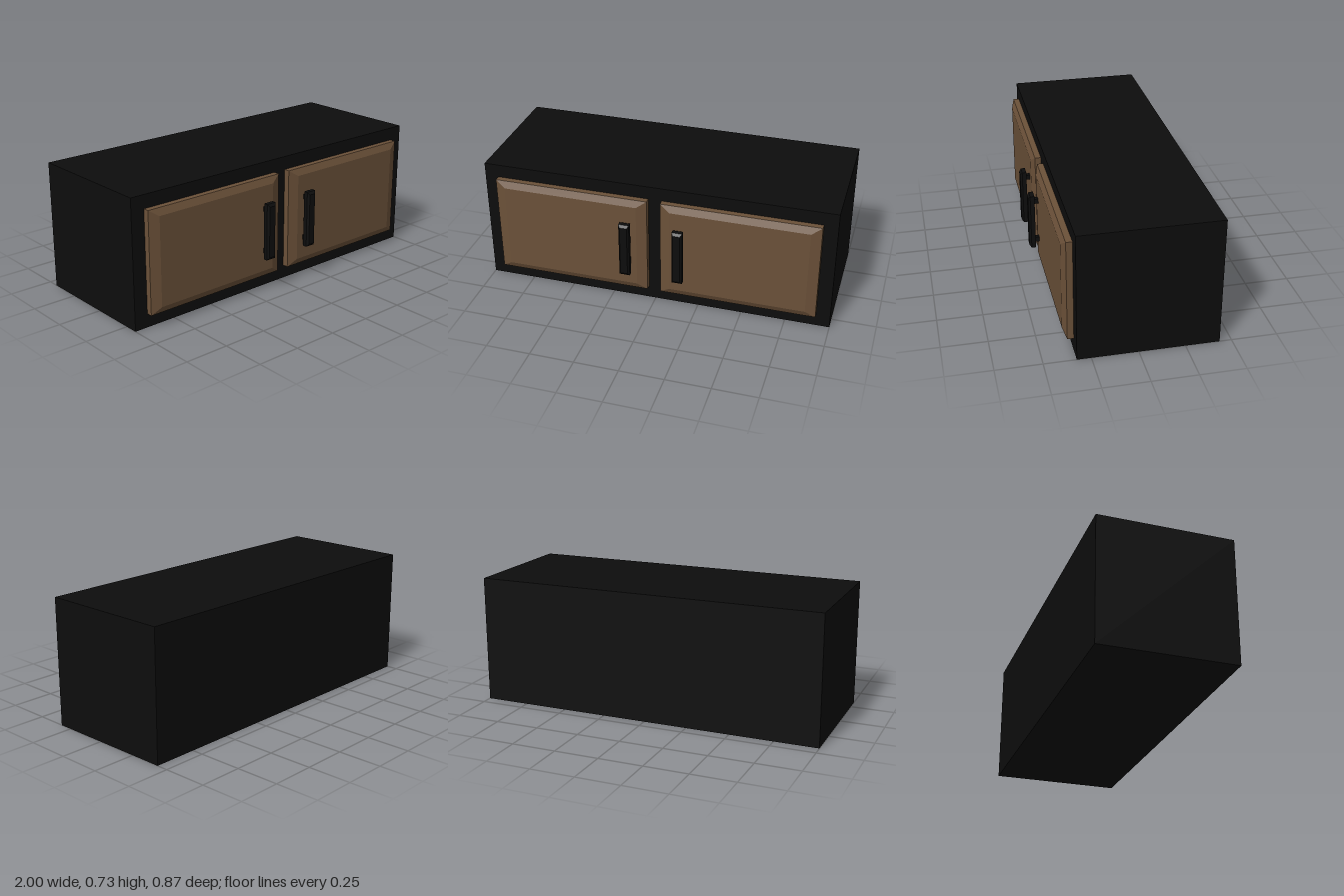
import * as THREE from 'three';

const black = new THREE.MeshStandardMaterial({ color: 0x0d0d0d });
black.name = 'black';
const wood = new THREE.MeshStandardMaterial({ color: 0x6b5139 });
wood.name = 'brown wood';

// Box between two corners
function box(name, material, [x0, y0, z0], [x1, y1, z1]) {
  const mesh = new THREE.Mesh(new THREE.BoxGeometry(x1 - x0, y1 - y0, z1 - z0), material);
  mesh.position.set((x0 + x1) / 2, (y0 + y1) / 2, (z0 + z1) / 2);
  mesh.name = name;
  return mesh;
}

// Box whose front face is drawn in by insetX, insetY, sloping from zBevel to z1
function bevelledBox(name, material, [x0, y0, z0], [x1, y1, z1], zBevel, insetX, insetY) {
  const w = x1 - x0, h = y1 - y0, d = z1 - z0;
  const indexed = new THREE.BoxGeometry(w, h, d, 1, 1, 2);
  const p = indexed.attributes.position;
  for (let i = 0; i < p.count; i++) {
    const z = p.getZ(i);
    if (Math.abs(z) < 1e-6) {
      p.setZ(i, zBevel - (z0 + z1) / 2);
    } else if (z > 0) {
      p.setX(i, Math.sign(p.getX(i)) * (w / 2 - insetX));
      p.setY(i, Math.sign(p.getY(i)) * (h / 2 - insetY));
    }
  }
  const geometry = indexed.toNonIndexed();
  geometry.computeVertexNormals();
  const mesh = new THREE.Mesh(geometry, material);
  mesh.position.set((x0 + x1) / 2, (y0 + y1) / 2, (z0 + z1) / 2);
  mesh.name = name;
  return mesh;
}

export function createModel() {
  const model = new THREE.Group();
  model.name = 'wallCabinet';
  model.add(box('cabinetBody', black, [-1, 0, -0.435], [1, 0.727, 0.326]));

  for (const [side, s] of [['left', 1], ['right', -1]]) {
    // Door panel with sloped border
    const cx = s * 0.48;
    model.add(bevelledBox(side + 'Door', wood,
      [cx - 0.442, 0.077, 0.326], [cx + 0.442, 0.652, 0.378], 0.36, 0.057, 0.038));

    // Pull handle: grip bar on two posts
    const handle = new THREE.Group();
    handle.name = side + 'Handle';
    const hx = s * 0.151;
    handle.add(bevelledBox('grip', black,
      [hx - 0.03, 0.198, 0.401], [hx + 0.03, 0.524, 0.436], 0.425, 0.01, 0.015));
    for (const y of [0.239, 0.483]) {
      handle.add(box('post', black, [hx - 0.013, y - 0.014, 0.37], [hx + 0.013, y + 0.014, 0.402]));
    }
    model.add(handle);
  }
  return model;
}
